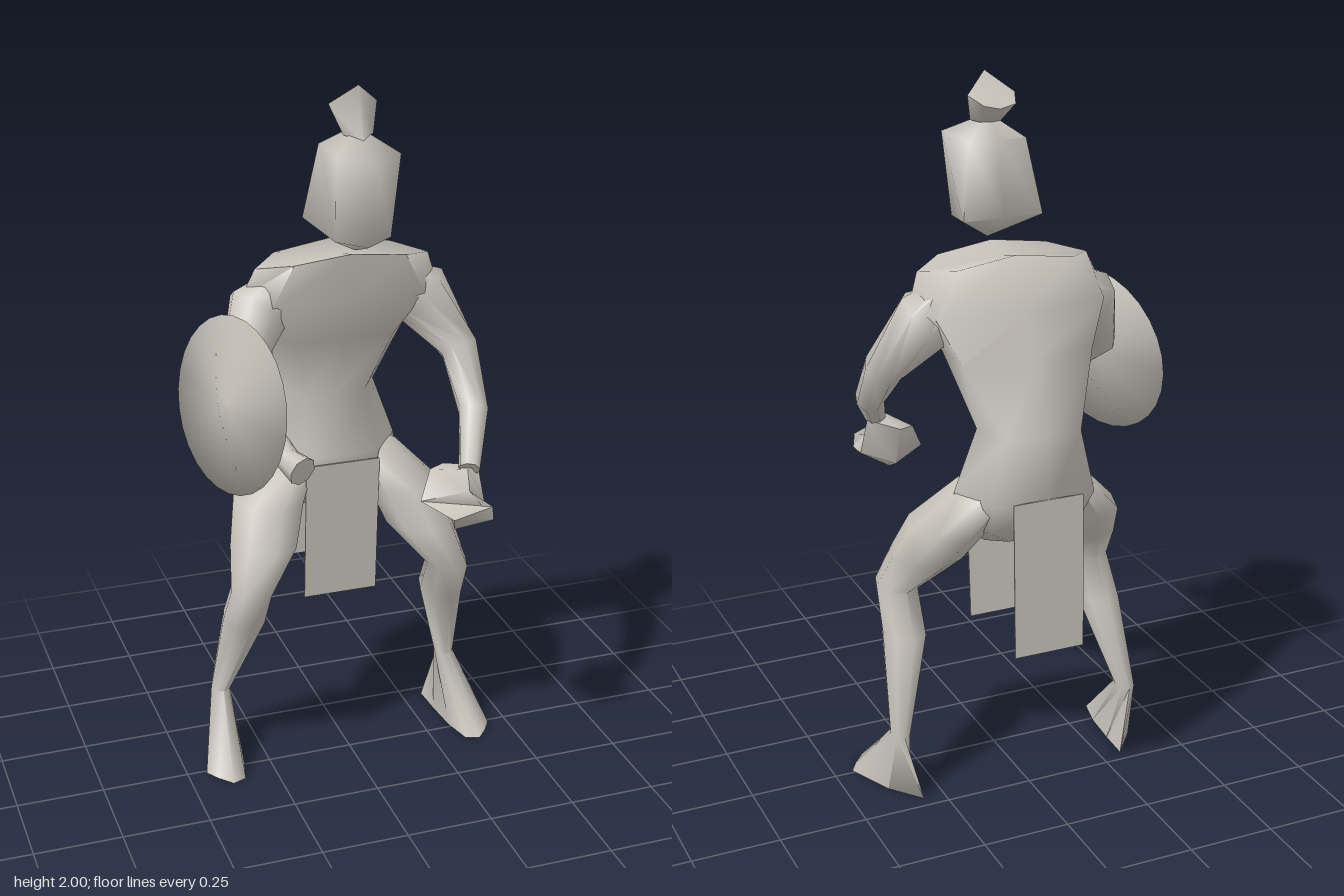
import * as THREE from 'three';
import { toCreasedNormals } from 'three/addons/utils/BufferGeometryUtils.js';

const V = (x, y, z) => new THREE.Vector3(x, y, z);

// Closed skin over a list of equally sized rings, capped by points at both ends
function loft(rings, capA, capB) {
  const n = rings[0].length, m = rings.length;
  const mid = r => r.reduce((a, p) => a.add(p), V(0, 0, 0)).divideScalar(r.length);
  const pts = [...rings.flat(), capA || mid(rings[0]), capB || mid(rings[m - 1])];
  const tri = [];
  for (let k = 0; k < n; k++) {
    const l = (k + 1) % n, e = (m - 1) * n;
    for (let i = 0; i < m - 1; i++) {
      const a = i * n + k, b = i * n + l;
      tri.push([a, b, a + n], [b, b + n, a + n]);
    }
    tri.push([m * n, l, k], [m * n + 1, e + k, e + l]);
  }
  // turn the faces outward whichever way the rings run
  let vol = 0;
  const c = mid(rings.flat());
  const rel = pts.map(p => p.clone().sub(c));
  tri.forEach(([a, b, d]) => { vol += rel[a].dot(V(0, 0, 0).crossVectors(rel[b], rel[d])); });
  const g = new THREE.BufferGeometry().setFromPoints(pts);
  g.setIndex(tri.flatMap(([a, b, d]) => (vol > 0 ? [a, b, d] : [a, d, b])));
  return toCreasedNormals(g, 1.5);
}

// Level ring around the y axis
function levelRing(s, x, y, z, rx, rz, n = 8) {
  return Array.from({ length: n }, (_, k) => {
    const a = (k / n) * Math.PI * 2;
    return V(s * (x + rx * Math.cos(a)), y, z + rz * Math.sin(a));
  });
}

// Rings square to a path of [x, y, z, radius]
function limbRings(s, path, n = 8) {
  const p = path.map(q => V(s * q[0], q[1], q[2]));
  return p.map((c, i) => {
    const t = p[Math.min(i + 1, p.length - 1)].clone().sub(p[Math.max(i - 1, 0)]).normalize();
    const v = t.clone().cross(V(s, 0, 1)).normalize();
    const u = v.clone().cross(t);
    return Array.from({ length: n }, (_, k) => {
      const a = (k / n) * Math.PI * 2, r = path[i][3];
      return c.clone().addScaledVector(u, r * Math.cos(a)).addScaledVector(v, r * Math.sin(a));
    });
  });
}

// Full ring from points of one half; first and last lie on the centre line
function mirrorRing(half, cx = 0) {
  const right = half.map(([x, y, z]) => V(cx + x, y, z));
  const left = half.slice(1, -1).reverse().map(([x, y, z]) => V(cx - x, y, z));
  return [...right, ...left];
}

export function createModel() {
  const group = new THREE.Group();
  const clay = new THREE.MeshStandardMaterial({ color: 0xc6c2ba });
  clay.name = 'warm grey';
  clay.side = THREE.DoubleSide;
  const add = (name, geo) => {
    const mesh = new THREE.Mesh(geo, clay);
    mesh.name = name;
    group.add(mesh);
    return mesh;
  };

  // Torso: broad hunched shoulders, pinched waist, narrow crotch
  add('torso', loft([
    [[0, 1.54, 0.02], [0.16, 1.52, 0.01], [0.25, 1.5, -0.06], [0.17, 1.515, -0.145], [0, 1.54, -0.15]],
    [[0, 1.4, 0], [0.22, 1.4, 0], [0.285, 1.41, -0.085], [0.245, 1.4, -0.18], [0, 1.4, -0.22]],
    [[0, 1.28, -0.03], [0.14, 1.28, -0.035], [0.2, 1.29, -0.11], [0.19, 1.28, -0.225], [0, 1.28, -0.275]],
    [[0, 1.09, -0.12], [0.09, 1.09, -0.125], [0.14, 1.09, -0.2], [0.11, 1.09, -0.325], [0, 1.1, -0.355]],
    [[0, 0.92, -0.06], [0.11, 0.92, -0.065], [0.2, 0.92, -0.19], [0.15, 0.91, -0.33], [0, 0.9, -0.36]],
    [[0, 0.83, -0.09], [0.1, 0.82, -0.075], [0.2, 0.82, -0.14], [0.13, 0.81, -0.28], [0, 0.83, -0.31]],
    [[0, 0.765, -0.15], [0.05, 0.75, -0.14], [0.1, 0.74, -0.16], [0.05, 0.75, -0.22], [0, 0.765, -0.23]],
  ].map(h => mirrorRing(h))));

  // Head: flat at the back, pointed toward the face
  add('head', loft([
    mirrorRing([[0, 1.59, 0.135], [0.078, 1.6, 0.09], [0.115, 1.625, -0.082], [0, 1.625, -0.085]], 0.008),
    mirrorRing([[0, 1.82, 0.168], [0.09, 1.83, 0.11], [0.082, 1.83, -0.06], [0, 1.83, -0.063]], 0.015),
  ], V(0.01, 1.55, 0.02), V(0.012, 1.89, 0.01)));

  // Topknot: narrow root flaring into a tilted tuft
  add('topknot', loft([
    mirrorRing([[0, 1.86, 0.075], [0.042, 1.87, 0.03], [0.03, 1.87, -0.01], [0, 1.87, -0.02]], 0.014),
    mirrorRing([[0, 2, 0.03], [0.068, 1.945, -0.015], [0.045, 1.925, -0.073], [0, 1.915, -0.075]], 0.014),
  ]));

  // Legs with splayed, pointed feet
  const foot = [[0.445, 0.01], [0.42, 0.05], [0.385, 0.09], [0.345, 0.075],
    [0.325, -0.01], [0.316, -0.12], [0.312, -0.215], [0.385, -0.125]];
  for (const s of [1, -1]) {
    add(s > 0 ? 'leftLeg' : 'rightLeg', loft([
      [0.11, 0.92, -0.2, 0.075, 0.12],
      [0.2, 0.8, -0.135, 0.105, 0.14],
      [0.236, 0.69, -0.065, 0.1, 0.12],
      [0.297, 0.575, 0.01, 0.06, 0.08],
      [0.303, 0.46, -0.055, 0.062, 0.085],
      [0.355, 0.19, -0.147, 0.028, 0.038],
    ].map(r => levelRing(s, ...r)).concat([foot.map(([x, z]) => V(s * x, 0, z))])));
  }

  // Arms: same shoulders, different forearms
  const shoulder = [[0.14, 1.42, -0.09, 0.075], [0.235, 1.375, -0.083, 0.092]];
  add('leftArm', loft(limbRings(1, [...shoulder, [0.328, 1.225, -0.005, 0.056],
    [0.315, 1.09, 0.14, 0.042], [0.25, 0.98, 0.275, 0.03]])));
  add('rightArm', loft(limbRings(-1, [...shoulder, [0.312, 1.225, -0.01, 0.055],
    [0.285, 1.115, 0.14, 0.038], [0.258, 1.07, 0.25, 0.033], [0.235, 1.054, 0.305, 0.042]])));

  // Left fist
  add('leftFist', loft([
    [V(0.165, 0.962, 0.2), V(0.21, 0.965, 0.18), V(0.285, 0.98, 0.25), V(0.235, 0.99, 0.3)],
    [V(0.125, 0.885, 0.235), V(0.215, 0.85, 0.21), V(0.297, 0.87, 0.28), V(0.23, 0.94, 0.33)],
    [V(0.17, 0.88, 0.372), V(0.205, 0.812, 0.29), V(0.29, 0.86, 0.36), V(0.285, 0.9, 0.362)],
  ]));

  // Round shield, shallow lens facing outward
  const shield = add('shield', new THREE.LatheGeometry(
    [[0, -0.008], [0.245, 0], [0, 0.018]].map(([r, y]) => new THREE.Vector2(r, y)), 28));
  shield.position.set(-0.36, 1.167, 0.067);
  shield.quaternion.setFromUnitVectors(V(0, 1, 0), V(-0.93, 0.13, 0.345).normalize());

  // Loincloth panels: [name, width, top y, top z, hem z]
  for (const [name, w, y, z, hem] of [['frontCloth', 0.22, 0.9, -0.055, -0.085],
    ['backCloth', 0.205, 0.92, -0.358, -0.372]]) {
    const bottom = 0.475, h = Math.hypot(y - bottom, hem - z);
    const cloth = add(name, new THREE.BoxGeometry(w, h, 0.004));
    cloth.position.set(0, (y + bottom) / 2, (z + hem) / 2);
    cloth.rotation.x = -Math.atan2(hem - z, y - bottom);
  }
  return group;
}
